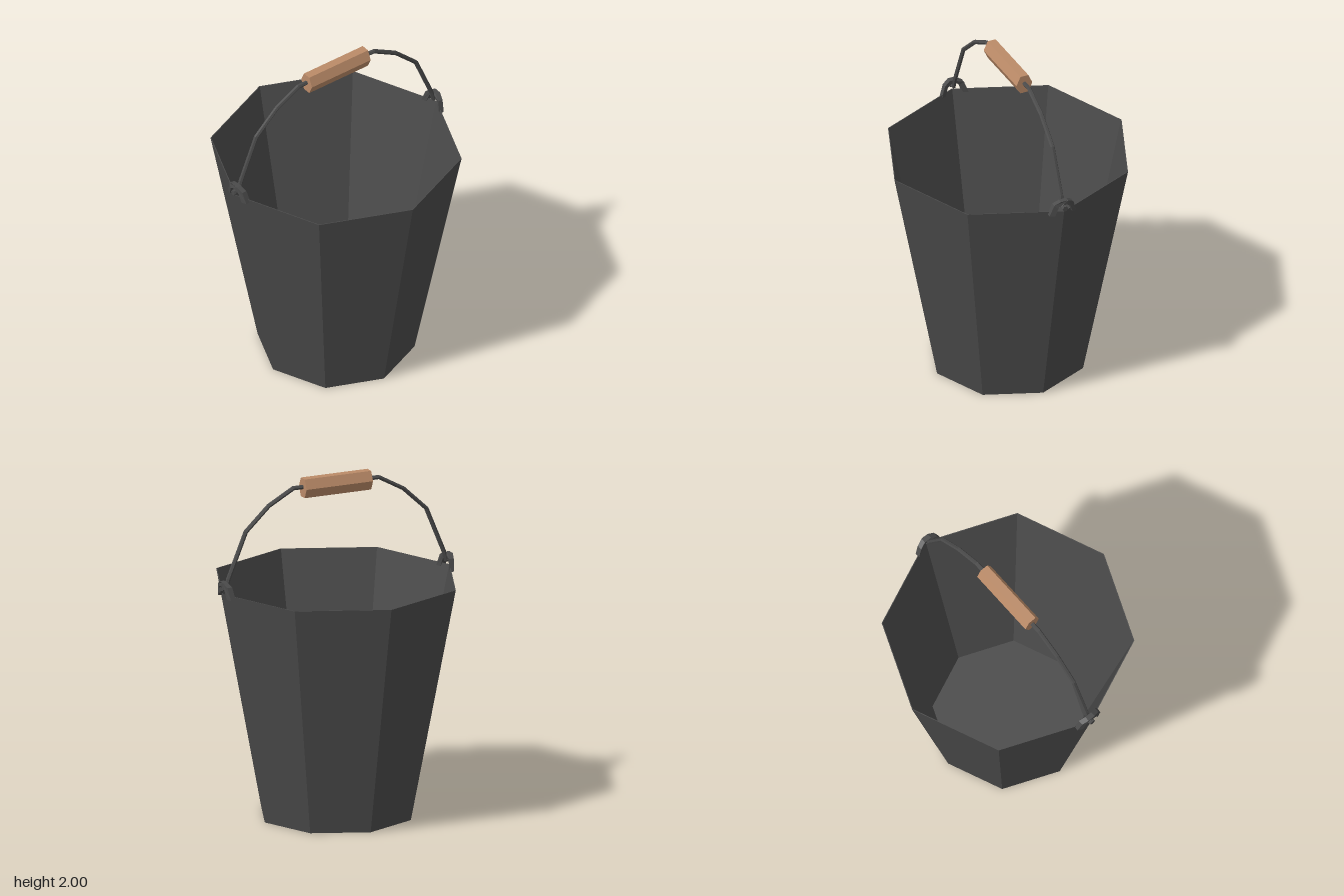
import * as THREE from 'three';

// Straight segments between points, one tube ring per point
class PolyCurve extends THREE.Curve {
  constructor(points) { super(); this.points = points; }
  getPoint(t, target = new THREE.Vector3()) {
    const n = this.points.length - 1;
    const f = Math.min(Math.max(t, 0), 1) * n;
    const i = Math.min(Math.floor(f), n - 1);
    return target.lerpVectors(this.points[i], this.points[i + 1], f - i);
  }
  getPointAt(t, target) { return this.getPoint(t, target); }
  getTangentAt(t, target) { return this.getTangent(t, target); }
}

export function createModel() {
  const group = new THREE.Group();
  const material = (name, color, side) => {
    const m = new THREE.MeshStandardMaterial({ color, flatShading: true, side });
    m.name = name;
    return m;
  };
  const iron = material('dark iron', 0x4b4b4b, THREE.DoubleSide);
  const wood = material('grip wood', 0xbb8b68, THREE.FrontSide);
  const add = (name, geometry, mat) => {
    const mesh = new THREE.Mesh(geometry, mat);
    mesh.name = name;
    group.add(mesh);
    return mesh;
  };
  const v2 = ([x, y]) => new THREE.Vector2(x, y);

  // Eight-sided pail: recessed underside, skirt, outer wall, thin rim, inner wall, floor
  const profile = [
    [0, 0.045], [0.435, 0.045], [0.44, 0], [0.45, 0],
    [0.72, 1.38], [0.715, 1.38], [0.43, 0.055], [0, 0.055],
  ].map(v2);
  add('pail', new THREE.LatheGeometry(profile, 8), iron);

  // Wire bail with its ends passing out through the ears
  const half = [[0.735, 1.405], [0.695, 1.41], [0.68, 1.465], [0.57, 1.73], [0.425, 1.865], [0.27, 1.95], [0.19, 1.95]];
  const path = [
    ...half.map(([x, y]) => new THREE.Vector3(-x, y, 0)),
    ...half.slice().reverse().map(([x, y]) => new THREE.Vector3(x, y, 0)),
  ];
  add('bail', new THREE.TubeGeometry(new PolyCurve(path), path.length - 1, 0.013, 6), iron);

  // Hexagonal wooden grip
  const grip = new THREE.CylinderGeometry(0.05, 0.05, 0.42, 6);
  grip.rotateZ(Math.PI / 2);
  grip.scale(1, 1.27, 1);
  add('grip', grip, wood).position.y = 1.945;

  // Arched ears, bent back to follow the rim, and the bail's end knobs
  const arch = [
    [-0.085, 1.36], [-0.06, 1.43], [-0.022, 1.452], [0.022, 1.452], [0.06, 1.43], [0.085, 1.36],
    [0.055, 1.36], [0.038, 1.41], [0.014, 1.426], [-0.014, 1.426], [-0.038, 1.41], [-0.055, 1.36],
  ].map(v2);
  for (const side of [1, -1]) {
    const ear = new THREE.ExtrudeGeometry(new THREE.Shape(arch), { depth: 0.03, bevelEnabled: false });
    ear.rotateY(Math.PI / 2);
    const p = ear.attributes.position;
    for (let i = 0; i < p.count; i++) {
      p.setX(i, p.getX(i) + 0.697 - 0.4 * Math.max(0, Math.abs(p.getZ(i)) - 0.03));
    }
    if (side < 0) ear.rotateY(Math.PI);
    add(side > 0 ? 'leftEar' : 'rightEar', ear, iron);

    const knob = new THREE.CylinderGeometry(0.017, 0.017, 0.014, 6);
    knob.rotateZ(Math.PI / 2);
    add(side > 0 ? 'leftKnob' : 'rightKnob', knob, iron).position.set(side * 0.73, 1.405, 0);
  }
  return group;
}
